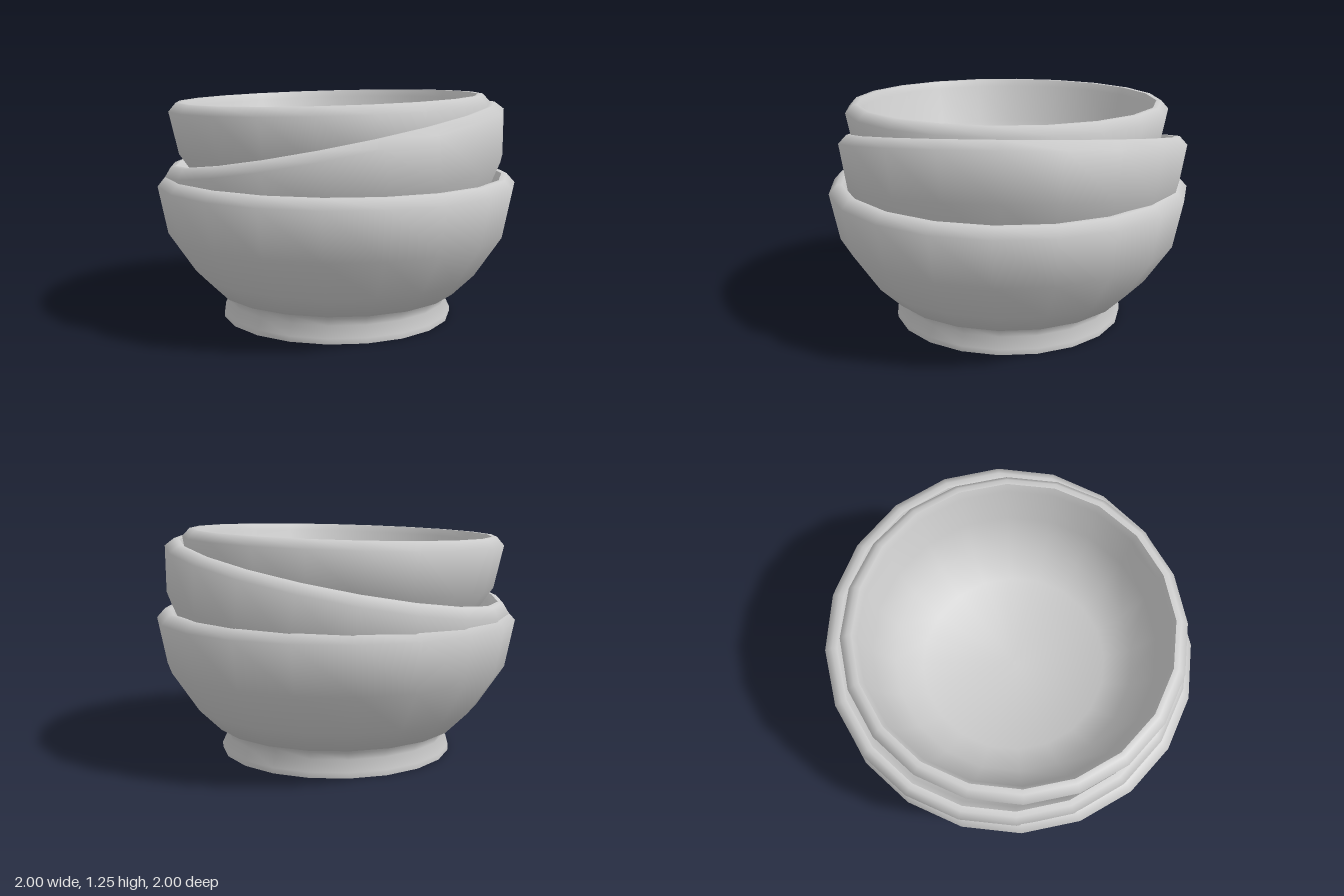
import * as THREE from 'three';
import { toCreasedNormals } from 'three/addons/utils/BufferGeometryUtils.js';

// Bowl cross-section: [radius, height] from the foot, up the outside, over the rim, down the inside
const PROFILE = [
  [0, 0], [0.65, 0], [0.65, 0.03], [0.62, 0.09], [0.635, 0.13], [0.65, 0.155],
  [0.685, 0.155], [0.805, 0.275], [0.95, 0.495], [1, 0.755],
  [0.955, 0.805], [0.925, 0.805], [0.9, 0.76],
  [0.85, 0.52], [0.73, 0.33], [0.57, 0.21], [0, 0.2],
];

export function createModel() {
  const stack = new THREE.Group();
  stack.name = 'bowlStack';

  const material = new THREE.MeshStandardMaterial({ color: 0xcccccc });
  const points = PROFILE.map(([r, y]) => new THREE.Vector2(r, y));
  const geometry = toCreasedNormals(new THREE.LatheGeometry(points, 20), THREE.MathUtils.degToRad(60));

  // One shared bowl, scaled down and tilted as the stack goes up
  const addBowl = (name, scale, position, tiltX, tiltZ) => {
    const bowl = new THREE.Mesh(geometry, material);
    bowl.name = name;
    bowl.scale.setScalar(scale);
    bowl.position.set(...position);
    bowl.rotation.set(THREE.MathUtils.degToRad(tiltX), 0, THREE.MathUtils.degToRad(tiltZ));
    stack.add(bowl);
  };

  addBowl('bottomBowl', 1, [0, 0, 0], 0, 0);
  addBowl('middleBowl', 0.967, [0.126, 0.262, 0.006], -3, 10.6);
  addBowl('topBowl', 0.89, [-0.023, 0.51, 0], -0.3, 1.5);

  return stack;
}
